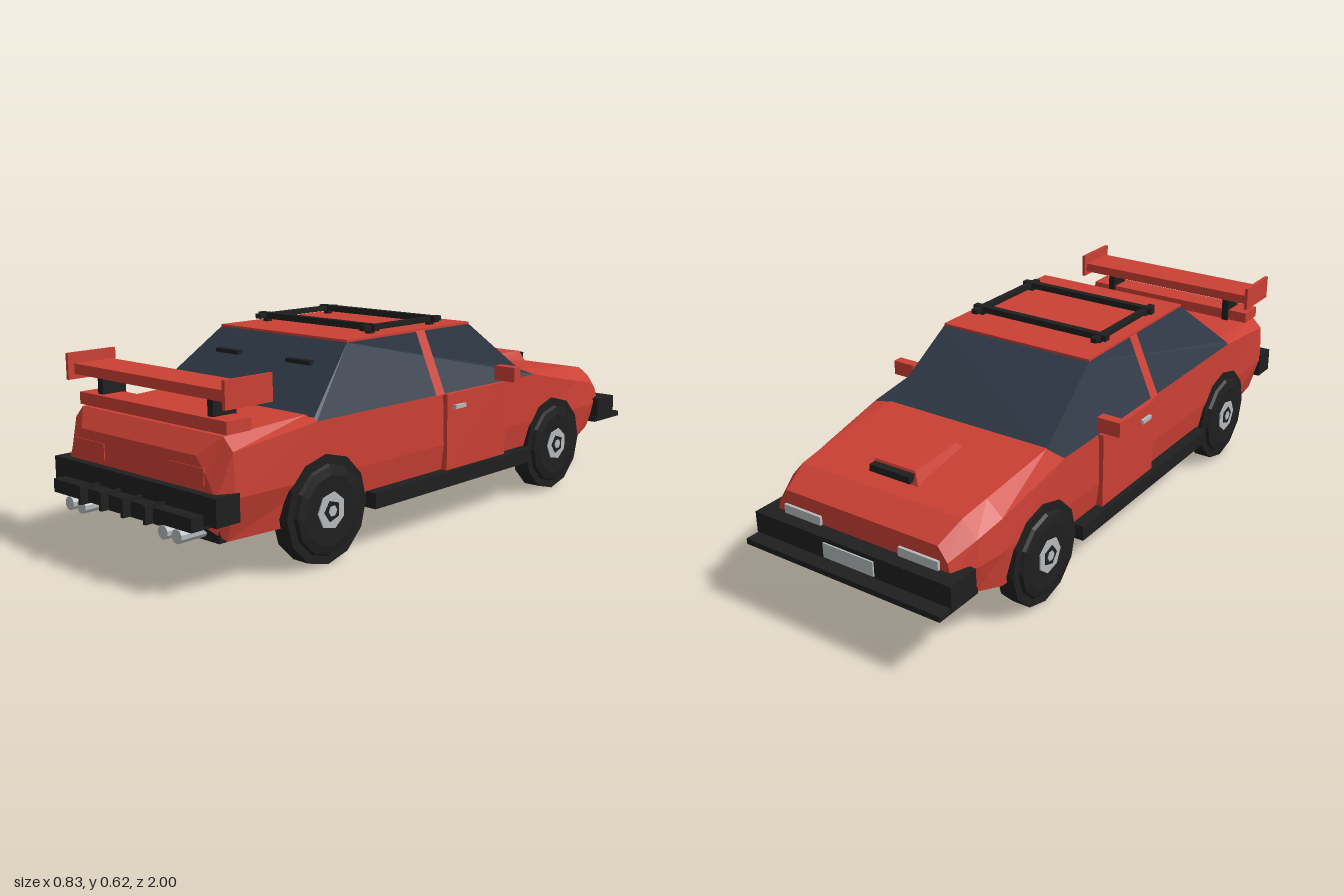
import * as THREE from 'three';

export function createModel() {
  const car = new THREE.Group();
  car.name = 'rallyCar';
  const mat = (name, color) => {
    const m = new THREE.MeshStandardMaterial({ color, flatShading: true });
    m.name = name;
    return m;
  };
  const red = mat('red paint', 0xcb4034);
  const black = mat('black trim', 0x1f1f1f);
  const glass = mat('tinted glass', 0x2e3846);
  const silver = mat('silver', 0xb6babd);

  const add = (name, geo, m, parent = car) => {
    const mesh = new THREE.Mesh(geo, m);
    mesh.name = name;
    parent.add(mesh);
    return mesh;
  };
  // Box given by its extents along each axis
  const box = (name, m, [x0, x1], [y0, y1], [z0, z1]) => {
    const mesh = add(name, new THREE.BoxGeometry(x1 - x0, y1 - y0, z1 - z0), m);
    mesh.position.set((x0 + x1) / 2, (y0 + y1) / 2, (z0 + z1) / 2);
    return mesh;
  };
  // The same box on both sides of the car
  const pair = (name, m, [x0, x1], y, z) => {
    box(name + 'Left', m, [x0, x1], y, z);
    box(name + 'Right', m, [-x1, -x0], y, z);
  };
  const fan = (out, pts) => {
    for (let i = 1; i < pts.length - 1; i++) out.push(...pts[0], ...pts[i], ...pts[i + 1]);
  };
  const toGeometry = (arr) => {
    const g = new THREE.BufferGeometry();
    g.setAttribute('position', new THREE.Float32BufferAttribute(arr, 3));
    g.computeVertexNormals();
    return g;
  };
  const mirror = (pts) => pts.map(([x, y, z]) => [-x, y, z]).reverse();

  // Body: cross-sections from tail to nose.
  // z, then half-width and height of sill, waist, shoulder and top edge
  const sections = [
    [0.91, 0.28, 0.17, 0.315, 0.25, 0.295, 0.29, 0.245, 0.355],
    [0.865, 0.305, 0.13, 0.342, 0.25, 0.335, 0.37, 0.3, 0.405],
    [0.575, 0.335, 0.13, 0.35, 0.25, 0.345, 0.405, 0.3, 0.417],
    [-0.44, 0.335, 0.13, 0.35, 0.25, 0.345, 0.405, 0.285, 0.417],
    [-0.72, 0.33, 0.135, 0.345, 0.25, 0.335, 0.345, 0.285, 0.39],
    [-0.82, 0.315, 0.165, 0.335, 0.25, 0.325, 0.325, 0.28, 0.375],
    [-0.905, 0.28, 0.19, 0.305, 0.25, 0.295, 0.29, 0.265, 0.332],
  ];
  const rings = sections.map(([z, ...p]) => {
    const half = [0, 2, 4, 6].map((i) => [p[i], p[i + 1], z]);
    return [...half, ...mirror(half)];
  });
  const shell = [], floor = [];
  for (let s = 0; s < rings.length - 1; s++) {
    const a = rings[s], b = rings[s + 1];
    for (let i = 0; i < 8; i++) {
      const j = (i + 1) % 8;
      fan(i === 7 ? floor : shell, [a[i], b[i], b[j], a[j]]);
    }
  }
  fan(shell, rings[0]);
  fan(shell, [...rings[rings.length - 1]].reverse());
  add('body', toGeometry(shell), red);
  add('underbody', toGeometry(floor), black);

  // Cabin: glass on all four sides with a thin roof
  const roofY = 0.588, rx = 0.265, rz0 = -0.19, rz1 = 0.37;
  const screens = [], sides = [];
  fan(screens, [[-0.285, 0.414, -0.44], [-rx, roofY, rz0], [rx, roofY, rz0], [0.285, 0.414, -0.44]]);
  fan(screens, [[-0.335, 0.414, 0.575], [0.335, 0.414, 0.575], [rx, roofY, rz1], [-rx, roofY, rz1]]);
  const side = [[rx, roofY, rz1], [0.335, 0.414, 0.575], [0.345, 0.405, 0.575],
    [0.345, 0.405, -0.44], [0.285, 0.417, -0.44], [rx, roofY, rz0]];
  fan(sides, side);
  fan(sides, mirror(side));
  add('windscreens', toGeometry(screens), glass);
  add('sideWindows', toGeometry(sides), glass);
  box('roof', red, [-rx, rx], [roofY - 0.002, 0.595], [rz0, rz1]);

  // Pillars between the side windows
  const pillars = [];
  const pillar = [[0.27, 0.592, 0.075], [0.352, 0.405, 0.075], [0.352, 0.405, 0.035], [0.27, 0.592, 0.035]];
  fan(pillars, pillar);
  fan(pillars, mirror(pillar));
  add('doorPillars', toGeometry(pillars), red);

  // Doors, handles, mirrors and sills
  pair('door', red, [0.335, 0.362], [0.17, 0.405], [-0.26, 0.035]);
  pair('doorHandle', silver, [0.36, 0.372], [0.358, 0.37], [-0.045, 0.005]);
  pair('mirror', red, [0.34, 0.416], [0.413, 0.459], [-0.262, -0.23]);
  pair('sill', black, [0.31, 0.378], [0.126, 0.172], [-0.39, 0.375]);

  // Roof rack
  pair('rackRail', black, [0.21, 0.23], [0.605, 0.62], [-0.095, 0.258]);
  for (const z of [-0.055, 0.22]) {
    box('rackBar', black, [-0.245, 0.245], [0.604, 0.623], [z - 0.011, z + 0.011]);
    pair('rackFoot', black, [0.207, 0.225], [0.59, 0.607], [z - 0.01, z + 0.01]);
  }

  // Rear wing with end plates, struts and boot lip
  box('wingPlane', red, [-0.33, 0.33], [0.495, 0.525], [0.74, 0.87]);
  pair('wingEndPlate', red, [0.326, 0.337], [0.48, 0.556], [0.727, 0.89]);
  pair('wingStrut', black, [0.223, 0.245], [0.4, 0.5], [0.77, 0.85]);
  box('bootLip', red, [-0.312, 0.312], [0.41, 0.445], [0.78, 0.865]);

  // Rear lamps, bumper, diffuser and exhausts
  pair('tailLamp', red, [0.142, 0.275], [0.28, 0.327], [0.9, 0.913]);
  box('rearBumper', black, [-0.346, 0.346], [0.188, 0.265], [0.855, 0.935]);
  box('rearValance', black, [-0.298, 0.298], [0.127, 0.19], [0.78, 0.885]);
  box('diffuser', black, [-0.297, 0.297], [0.176, 0.214], [0.87, 0.975]);
  for (const x of [-0.141, -0.047, 0.047, 0.141])
    box('diffuserFin', black, [x - 0.005, x + 0.005], [0.172, 0.222], [0.9, 1]);
  for (const x of [-0.232, -0.177, 0.177, 0.232]) {
    const pipe = add('exhaust', new THREE.CylinderGeometry(0.02, 0.02, 0.1, 10), silver);
    pipe.rotation.x = Math.PI / 2;
    pipe.position.set(x, 0.153, 0.92);
  }

  // Small vents on the rear screen
  pair('screenVent', black, [0.1, 0.198], [0.525, 0.537], [0.425, 0.452]);

  // Nose: bumper, splitter, lamps and plate
  box('frontBumper', black, [-0.343, 0.343], [0.186, 0.263], [-0.955, -0.85]);
  box('splitter', black, [-0.34, 0.34], [0.182, 0.199], [-1, -0.84]);
  pair('headLamp', silver, [0.137, 0.27], [0.262, 0.29], [-0.914, -0.9]);
  box('numberPlate', silver, [-0.088, 0.088], [0.205, 0.25], [-0.96, -0.954]);

  // Bonnet scoop: a block narrowed at the top and tapered to the back
  const scoop = new THREE.BoxGeometry(0.19, 0.06, 0.25);
  const p = scoop.attributes.position;
  for (let i = 0; i < p.count; i++) {
    const top = p.getY(i) > 0, back = p.getZ(i) > 0;
    p.setXYZ(i, Math.sign(p.getX(i)) * (top ? (back ? 0.06 : 0.07) : (back ? 0.08 : 0.097)),
      top ? (back ? 0.424 : 0.42) : (back ? 0.385 : 0.365),
      back ? (top ? -0.56 : -0.515) : (top ? -0.75 : -0.77));
  }
  scoop.computeVertexNormals();
  add('bonnetScoop', scoop, red);
  box('scoopMouth', black, [-0.07, 0.07], [0.392, 0.413], [-0.777, -0.75]);

  // Wheels: stepped tyre with a faceted hub
  const profile = [[0, -0.043], [0.1, -0.043], [0.125, -0.038], [0.13, -0.028], [0.155, -0.028],
    [0.155, 0.028], [0.13, 0.028], [0.125, 0.038], [0.1, 0.043], [0, 0.038]]
    .map(([r, y]) => new THREE.Vector2(r, y));
  const tyre = new THREE.LatheGeometry(profile, 12);
  for (const s of [1, -1]) for (const z of [-0.55, 0.545]) {
    const wheel = new THREE.Group();
    wheel.name = (z < 0 ? 'front' : 'rear') + 'Wheel' + (s > 0 ? 'Left' : 'Right');
    wheel.position.set(s * 0.327, 0.157, z);
    wheel.rotation.z = -s * Math.PI / 2;
    add('tyre', tyre, black, wheel);
    const disc = (name, r, y, n, m) => {
      add(name, new THREE.CylinderGeometry(r, r, 0.012, n), m, wheel).position.y = y;
    };
    disc('rim', 0.053, 0.038, 7, silver);
    disc('hubRecess', 0.031, 0.04, 5, black);
    disc('hubCap', 0.016, 0.042, 6, silver);
    car.add(wheel);
  }
  return car;
}
